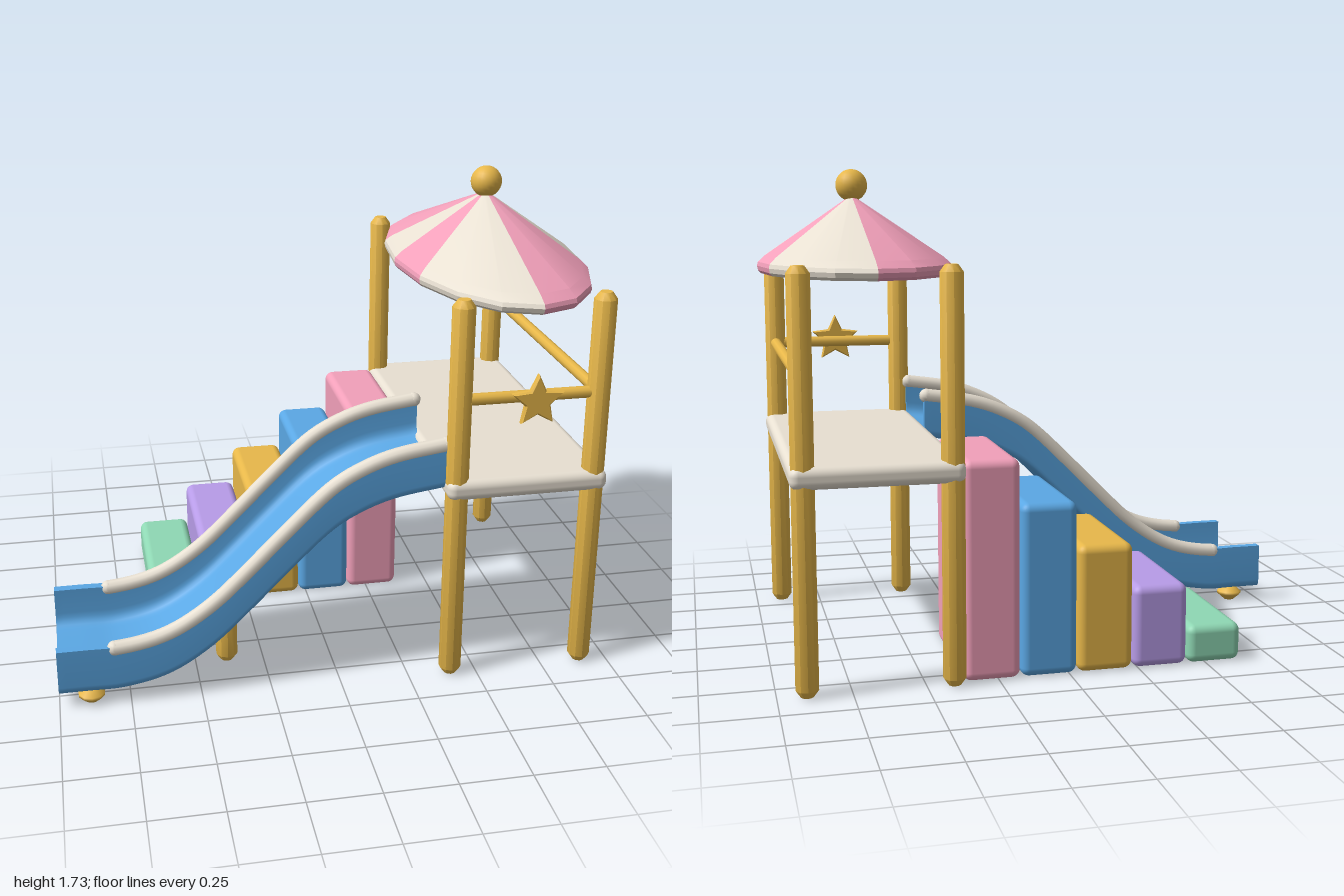
import * as THREE from 'three';
import { toCreasedNormals } from 'three/addons/utils/BufferGeometryUtils.js';
import { RoundedBoxGeometry } from 'three/addons/geometries/RoundedBoxGeometry.js';

const mat = (color) => new THREE.MeshStandardMaterial({ color });
const YELLOW = mat(0xe8b84a), BLUE = mat(0x5ba8e5), PINK = mat(0xf2a0ba);
const CREAM = mat(0xe8e0d2), PURPLE = mat(0xb89ce8), GREEN = mat(0x8fd8b4);

export function createModel() {
  const model = new THREE.Group();
  model.name = 'playground';

  const add = (name, geometry, material, x = 0, y = 0, z = 0) => {
    const mesh = new THREE.Mesh(geometry, material);
    mesh.name = name;
    mesh.position.set(x, y, z);
    model.add(mesh);
    return mesh;
  };
  const lathe = (pts, sides, start = 0, length = Math.PI * 2) =>
    new THREE.LatheGeometry(pts.map(([r, y]) => new THREE.Vector2(r, y)), sides, start, length);
  const box = (name, material, [x0, x1], [y0, y1], [z0, z1], r) =>
    add(name, new RoundedBoxGeometry(x1 - x0, y1 - y0, z1 - z0, 3, r), material,
      (x0 + x1) / 2, (y0 + y1) / 2, (z0 + z1) / 2);
  // Upright post with chamfered ends
  const post = (name, x, z, y0, y1, r = 0.04) =>
    add(name, toCreasedNormals(lathe([[0, y0], [r * 0.55, y0], [r, y0 + 0.025],
      [r, y1 - 0.025], [r * 0.55, y1], [0, y1]], 10), 0.7), YELLOW, x, 0, z);

  // Tower: posts, deck and safety bars
  for (const x of [0.405, 0.9])
    for (const z of [-0.595, 0.595]) post('towerPost', x, z, 0.003, 1.42);
  box('deck', CREAM, [0.365, 0.945], [0.7, 0.775], [-0.64, 0.64], 0.03);
  add('sideBar', new THREE.CylinderGeometry(0.021, 0.021, 1.12, 10), YELLOW, 0.9, 1.063, 0)
    .rotation.x = Math.PI / 2;
  add('frontBar', new THREE.CylinderGeometry(0.021, 0.021, 0.43, 10), YELLOW, 0.655, 1.063, 0.595)
    .rotation.z = Math.PI / 2;

  // Star on the front bar
  const star = new THREE.Shape();
  for (let i = 0; i < 10; i++) {
    const r = i % 2 ? 0.04 : 0.088, a = Math.PI / 2 + (i * Math.PI) / 5;
    star[i ? 'lineTo' : 'moveTo'](r * Math.cos(a), r * Math.sin(a));
  }
  star.closePath();
  add('star', new THREE.ExtrudeGeometry(star, {
    depth: 0.015, bevelSize: 0.006, bevelThickness: 0.007, bevelSegments: 1,
  }), YELLOW, 0.655, 1.068, 0.652);

  // Oval roof: alternating stripes, wide ones and narrow ones
  const rim = [[0, 1.37], [0.965, 1.37], [0.99, 1.38], [1, 1.396], [0.99, 1.41], [0.92, 1.432],
    [0.06, 1.632], [0, 1.64]];
  const step = Math.PI / 8;
  let at = 0;
  [3, 1, 1, 3, 3, 1, 1, 3].forEach((n, i) => {
    const g = lathe(rim, n, at * step, n * step).scale(0.34, 1, 0.68);
    add('roofStripe', toCreasedNormals(g, 0.3), i % 2 ? CREAM : PINK, 0.655, 0, 0);
    at += n;
  });
  add('roofBall', new THREE.SphereGeometry(0.057, 20, 14), YELLOW, 0.655, 1.68, 0);

  // Stair blocks
  [GREEN, PURPLE, YELLOW, BLUE, PINK].forEach((m, i) => {
    const x = -0.631 + i * 0.201;
    box('stairBlock', m, [x, x + 0.199], [0.003, 0.14 + i * 0.157], [-0.595, -0.085], 0.03);
  });

  // Underside height of the slide along x
  const bottom = new THREE.CubicInterpolant(
    [-1, -0.9, -0.77, -0.6, -0.45, -0.31, -0.2, -0.02, 0.08, 0.18, 0.38],
    [0.057, 0.057, 0.058, 0.1, 0.195, 0.327, 0.438, 0.607, 0.664, 0.7, 0.733], 1);
  const slideY = (x) => bottom.evaluate(x)[0];
  const SLIDE_Z = 0.345, LENGTH = 1.38;

  // Slide: channel section extruded along x, then lifted to the curve
  const W = 0.24, T = 0.034, H = 0.172, F = 0.025;
  const channel = new THREE.Shape();
  channel.moveTo(-W + 0.025, 0);
  channel.lineTo(W - 0.025, 0);
  channel.quadraticCurveTo(W, 0, W, 0.03);
  channel.lineTo(W, H);
  channel.lineTo(W - T, H);
  channel.lineTo(W - T, F + 0.05);
  channel.quadraticCurveTo(W - T, F, W - T - 0.05, F);
  channel.lineTo(-W + T + 0.05, F);
  channel.quadraticCurveTo(-W + T, F, -W + T, F + 0.05);
  channel.lineTo(-W + T, H);
  channel.lineTo(-W, H);
  channel.lineTo(-W, 0.03);
  channel.quadraticCurveTo(-W, 0, -W + 0.025, 0);
  const slide = new THREE.ExtrudeGeometry(channel,
    { depth: LENGTH, steps: 48, bevelEnabled: false, curveSegments: 5 });
  slide.rotateY(Math.PI / 2).translate(-1, 0, SLIDE_Z);
  const p = slide.attributes.position;
  for (let i = 0; i < p.count; i++) p.setY(i, p.getY(i) + slideY(p.getX(i)));
  add('slide', toCreasedNormals(slide, 0.6), BLUE);

  // Handrails along both slide walls, with rounded ends
  for (const side of [-1, 1]) {
    const z = SLIDE_Z + side * 0.222;
    const pts = Array.from({ length: 25 }, (_, i) => {
      const x = -0.8 + (i * 1.17) / 24;
      return new THREE.Vector3(x, slideY(x) + 0.161, z);
    });
    add('handrail', new THREE.TubeGeometry(new THREE.CatmullRomCurve3(pts), 48, 0.027, 10), CREAM);
    for (const e of [pts[0], pts[24]])
      add('handrailEnd', new THREE.SphereGeometry(0.027, 10, 8), CREAM, e.x, e.y, e.z);

    // Feet under the low end
    add('slideFoot', lathe([[0, 0.004], [0.02, 0.004], [0.048, 0.028], [0.048, 0.038],
      [0.02, 0.062], [0, 0.062]], 10), YELLOW, -0.887, 0, SLIDE_Z + side * 0.2);
  }
  post('slideSupport', -0.383, 0.355, 0.003, 0.262);

  return model;
}
